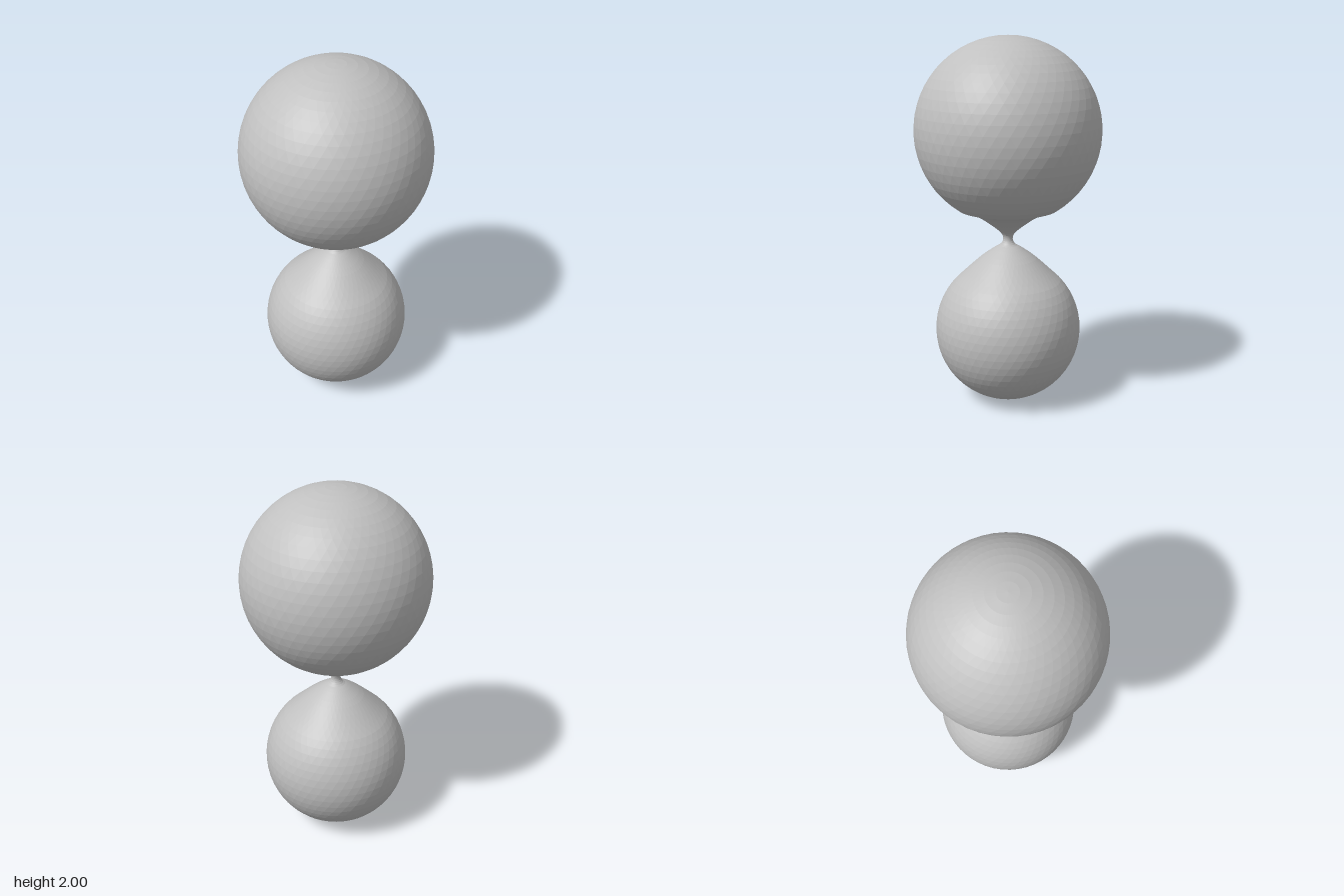
import * as THREE from 'three';

const SEGMENTS = 48;

// Points on a circular arc, angles in degrees from the equator
function arc(centerY, radius, from, to, steps) {
  return Array.from({ length: steps + 1 }, (_, i) => {
    const a = THREE.MathUtils.degToRad(from + (to - from) * i / steps);
    return new THREE.Vector2(Math.max(0, radius * Math.cos(a)), centerY + radius * Math.sin(a));
  });
}

// Revolves a profile (bottom to top), turning every other ring half a step for triangular facets
function facetedRevolve(profile) {
  const positions = [];
  const index = [];
  profile.forEach((p, row) => {
    for (let i = 0; i < SEGMENTS; i++) {
      const a = (i + (row % 2) / 2) / SEGMENTS * Math.PI * 2;
      positions.push(p.x * Math.sin(a), p.y, p.x * Math.cos(a));
    }
  });
  for (let row = 0; row < profile.length - 1; row++) {
    for (let i = 0; i < SEGMENTS; i++) {
      const j = (i + 1) % SEGMENTS;
      const a = row * SEGMENTS + i, b = row * SEGMENTS + j;
      const c = a + SEGMENTS, d = b + SEGMENTS;
      if (row % 2) index.push(a, d, c, a, b, d);
      else index.push(a, b, c, b, d, c);
    }
  }
  const geometry = new THREE.BufferGeometry();
  geometry.setAttribute('position', new THREE.Float32BufferAttribute(positions, 3));
  geometry.setIndex(index);
  geometry.computeVertexNormals();
  return geometry;
}

export function createModel() {
  const group = new THREE.Group();
  group.name = 'doubleBulb';

  const grey = new THREE.MeshStandardMaterial({ color: 0xc0c0c0, flatShading: true });
  grey.name = 'grey';

  // Two round bulbs, each stopping where it starts to flow into the neck
  const lower = arc(0.4, 0.4, -90, 50, 22);
  const upper = arc(1.5, 0.5, -57, 90, 24);

  // Narrow flared neck between them
  const waist = [[0.155, 0.8], [0.08, 0.855], [0.04, 0.88], [0.026, 0.91],
    [0.04, 0.945], [0.1, 0.995], [0.18, 1.048]].map(([x, y]) => new THREE.Vector2(x, y));
  const neck = new THREE.SplineCurve([lower.at(-1), ...waist, upper[0]]).getPoints(24);

  const parts = { lowerBulb: lower, neck, upperBulb: upper };
  for (const [name, profile] of Object.entries(parts)) {
    const mesh = new THREE.Mesh(facetedRevolve(profile), grey);
    mesh.name = name;
    group.add(mesh);
  }
  return group;
}
